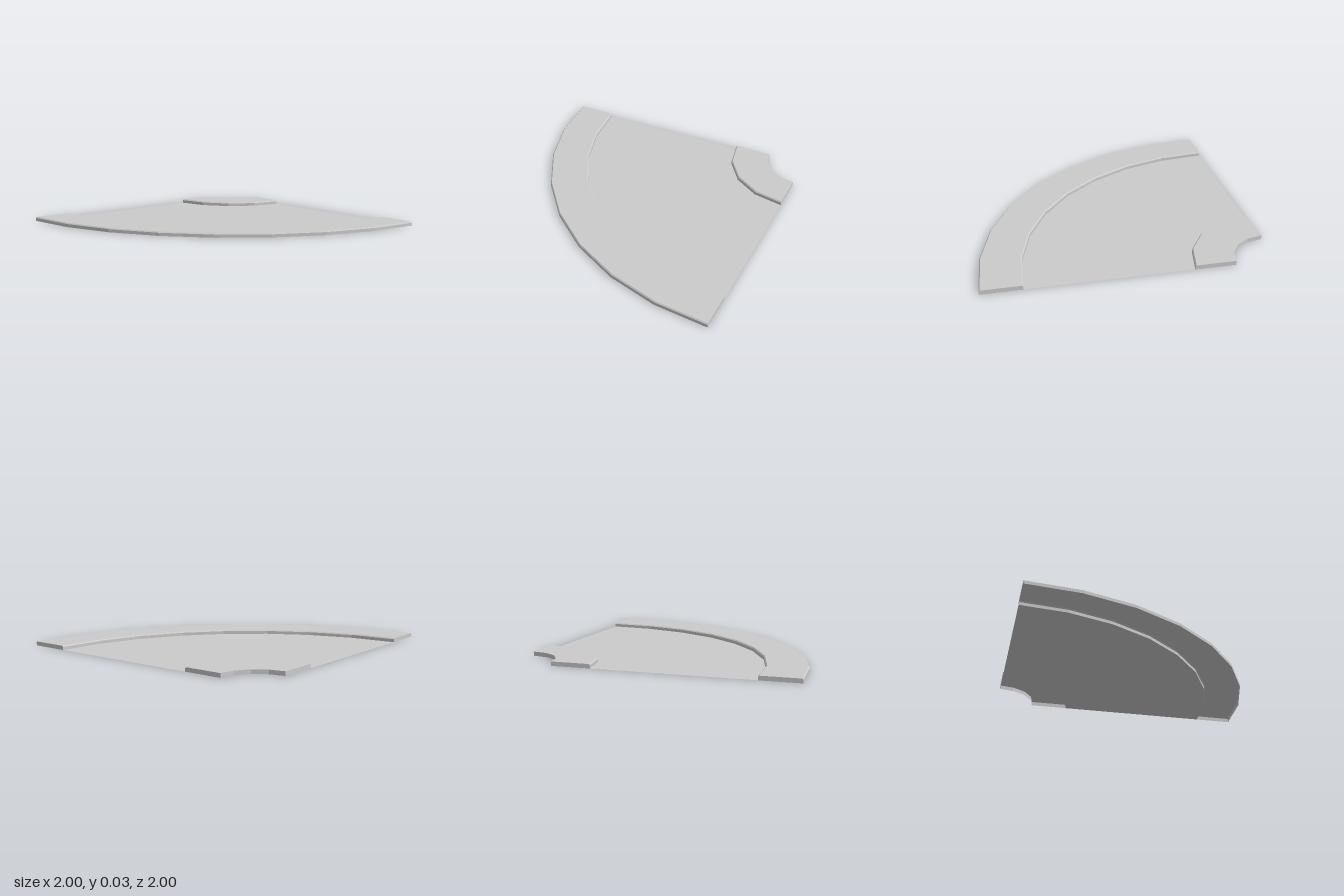
import * as THREE from 'three';

const QUARTER = Math.PI / 2;

export function createModel() {
  const group = new THREE.Group();
  group.name = 'curvedRoad';
  const material = new THREE.MeshStandardMaterial({
    color: 0xcccccc, flatShading: true, side: THREE.DoubleSide,
  });

  const add = (parent, name, geometry) => {
    const mesh = new THREE.Mesh(geometry, material);
    mesh.name = name;
    parent.add(mesh);
  };

  // points of a quarter arc around the bend's centre
  const arc = (radius, segments) => Array.from({ length: segments + 1 }, (_, i) => {
    const a = (i / segments) * QUARTER;
    return new THREE.Vector2(-radius * Math.cos(a), -radius * Math.sin(a));
  });

  // flat road between the two pavements
  const road = new THREE.ShapeGeometry(
    new THREE.Shape([...arc(1.715, 8), ...arc(0.57, 4).reverse()]));
  road.rotateX(-QUARTER);
  add(group, 'roadSurface', road);

  // raised pavement: swept profile, open underneath, with closed ends
  const pavement = (name, profile, segments) => {
    const part = new THREE.Group();
    part.name = name;
    const points = profile.map(([r, y]) => new THREE.Vector2(r, y));
    add(part, name + 'Kerb', new THREE.LatheGeometry(points, segments, -QUARTER, QUARTER));
    const end = (sign, angle) => new THREE.ShapeGeometry(new THREE.Shape(
      points.map((p) => new THREE.Vector2(sign * p.x, p.y)))).rotateY(angle);
    add(part, name + 'LeftEnd', end(-1, QUARTER));
    add(part, name + 'BackEnd', end(1, Math.PI));
    group.add(part);
  };

  // profiles run from the outer foot over the top to the inner foot
  pavement('outerPavement',
    [[2, 0], [2, 0.022], [1.993, 0.03], [1.722, 0.03], [1.714, 0.022], [1.714, 0]], 8);
  pavement('innerPavement',
    [[0.572, 0], [0.572, 0.022], [0.564, 0.03], [0.287, 0.03], [0.287, 0]], 4);

  // move the bend's centre to the back left corner
  group.children.forEach((child) => child.position.set(1, 0, -1));
  return group;
}
